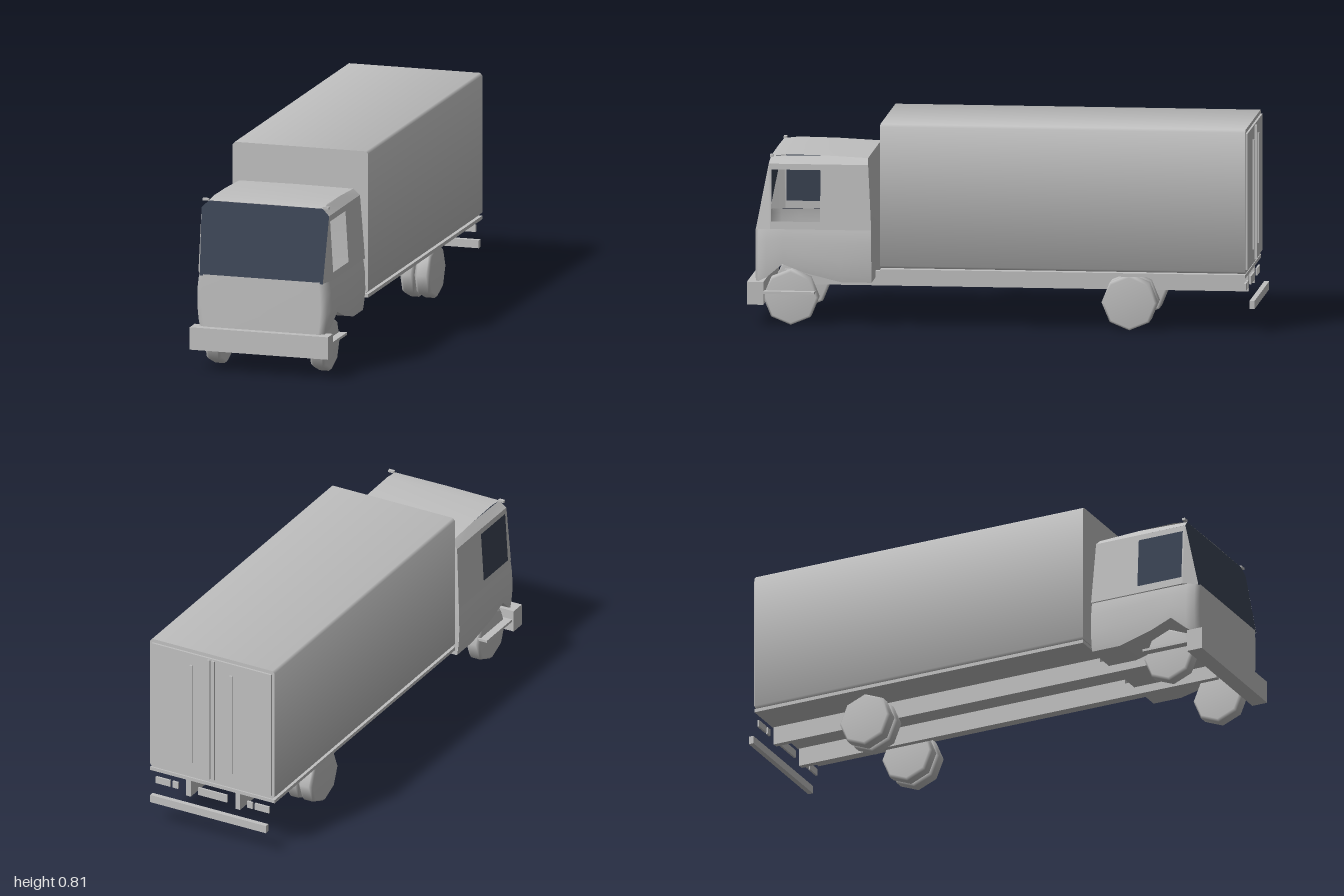
import * as THREE from 'three';

const body = new THREE.MeshStandardMaterial({ color: 0xc0c0c0, side: THREE.DoubleSide });
body.name = 'light grey';
const glass = new THREE.MeshStandardMaterial({ color: 0x3b4454, side: THREE.DoubleSide });
glass.name = 'dark glass';

export function createModel() {
  const truck = new THREE.Group();
  truck.name = 'boxTruck';

  const add = (name, geometry, material = body, parent = truck) => {
    const mesh = new THREE.Mesh(geometry, material);
    mesh.name = name;
    parent.add(mesh);
    return mesh;
  };
  // Box given by its extents on each axis
  const box = (name, [x0, x1], [y0, y1], [z0, z1], material = body) => {
    const g = new THREE.BoxGeometry(x1 - x0, y1 - y0, z1 - z0);
    add(name, g.translate((x0 + x1) / 2, (y0 + y1) / 2, (z0 + z1) / 2), material);
  };
  // Surface spanned by rows of points; each row has the same length
  const patch = (rows) => {
    const n = rows[0].length, index = [];
    for (let r = 0; r < rows.length - 1; r++) {
      for (let c = 0; c < n - 1; c++) {
        const a = r * n + c, b = a + n;
        index.push(a, a + 1, b + 1, a, b + 1, b);
      }
    }
    const g = new THREE.BufferGeometry();
    g.setAttribute('position', new THREE.Float32BufferAttribute(rows.flat(2), 3));
    g.setIndex(index);
    g.computeVertexNormals();
    return g;
  };

  // Cargo box: eight-sided section with softly shaded chamfers
  const W = 0.28, H = 0.285, bevel = 0.01;
  const cargo = new THREE.CylinderGeometry(1, 1, 1.44, 8, 1);
  cargo.rotateY(Math.PI / 8).rotateX(Math.PI / 2);
  const p = cargo.attributes.position;
  const fit = (v, half) => Math.abs(v) < 1e-4 ? 0 : Math.sign(v) * (Math.abs(v) > 0.5 ? half : half - bevel);
  for (let i = 0; i < p.count; i++) p.setXY(i, fit(p.getX(i), W), fit(p.getY(i), H));
  add('cargoBox', cargo.translate(0, 0.525, -0.245));
  box('cargoFloor', [-0.28, 0.28], [0.222, 0.236], [-0.965, 0.475]);
  box('rearDoors', [-0.268, 0.268], [0.255, 0.795], [-0.973, -0.964]);
  for (const s of [-1, 1]) {
    box('doorSeal', [s * 0.01 - 0.006, s * 0.01 + 0.006], [0.26, 0.79], [-0.98, -0.972]);
    box('doorRod', [s * 0.09 - 0.006, s * 0.09 + 0.006], [0.31, 0.745], [-0.98, -0.972]);
  }

  // Chassis, bumpers and lamps
  box('frontBumper', [-0.285, 0.285], [0.088, 0.178], [0.935, 1]);
  box('rearBumper', [-0.26, 0.26], [0.1, 0.132], [-1, -0.98]);
  box('plateHolder', [-0.065, 0.065], [0.168, 0.2], [-0.965, -0.957]);
  for (const s of [-1, 1]) {
    const span = (a, b) => s > 0 ? [a, b] : [-b, -a];
    box('chassisRail', span(0.1, 0.122), [0.148, 0.205], [-0.96, 0.87]);
    box('railHanger', span(0.1, 0.122), [0.2, 0.224], [-0.96, 0.47]);
    box('headlight', span(0.172, 0.274), [0.138, 0.166], [0.994, 1]);
    box('tailLamp', span(0.19, 0.255), [0.17, 0.198], [-0.965, -0.957]);
    box('reverseLamp', span(0.155, 0.18), [0.17, 0.198], [-0.965, -0.957]);
    box('roofMarker', span(0.235, 0.26), [0.671, 0.68], [0.9, 0.912]);
    box('cabStep', span(0.235, 0.278), [0.13, 0.14], [0.735, 0.94]);
  }

  // Wheels: eight-sided, with rounded shoulders; twin tyres at the back
  const wheel = (name, x, z, half) => {
    const R = 0.11, r = 0.1, e = half - 0.012;
    const profile = [[0, -half], [r, -half], [R, -e], [R, e], [r, half], [0, half]];
    const g = new THREE.LatheGeometry(profile.map(([a, b]) => new THREE.Vector2(a, b)), 8);
    add(name, g.rotateZ(Math.PI / 2).translate(x, 0.113, z));
  };
  for (const s of [-1, 1]) {
    wheel('frontWheel', s * 0.215, 0.832, 0.031);
    wheel('rearInnerWheel', s * 0.153, -0.503, 0.029);
    wheel('rearOuterWheel', s * 0.215, -0.503, 0.031);
  }

  // Cab lower body: bulged skin around sides and front, cut up over the wheels
  const cab = new THREE.Group();
  cab.name = 'cab';
  truck.add(cab);
  // x, z and lower edge height of each column, from the back to the front
  const columns = [
    [0.28, 0.51, 0.18], [0.28, 0.63, 0.18], [0.28, 0.77, 0.215], [0.28, 0.86, 0.25],
    [0.278, 0.925, 0.195], [0.268, 0.957, 0.178], [0.245, 0.97, 0.178],
  ];
  const around = [
    ...columns.map(([x, z, y]) => [-x, z, y]),
    ...columns.slice().reverse(),
  ];
  const inset = (y) => 1 - 1.9 * Math.pow(y - 0.285, 2) / 0.55;
  const levels = [0, 0.12, 0.4, 0.75, 0.92, 1];
  add('cabLowerBody', patch(levels.map((t) => around.map(([x, z, low]) => {
    const y = low + (0.388 - low) * t;
    return [x * inset(y), y, z];
  }))), body, cab);
  add('cabFloor', patch([-1, 1].map((s) => columns.map(([x, z, y]) => [s * x * inset(y), y, z]))), body, cab);

  // Cab upper shell: sides lean inward, with window openings
  const sideX = (y) => 0.278 - 0.016 * (y - 0.388) / 0.257;
  const wall = (points, s, hole) => {
    const shape = new THREE.Shape(points.map(([z, y]) => new THREE.Vector2(z, y)));
    if (hole) shape.holes.push(new THREE.Path(hole.map(([z, y]) => new THREE.Vector2(z, y))));
    const g = new THREE.ShapeGeometry(shape);
    const q = g.attributes.position;
    for (let i = 0; i < q.count; i++) {
      const z = q.getX(i), y = q.getY(i);
      q.setXYZ(i, s * sideX(y), y, z);
    }
    g.computeVertexNormals();
    return g;
  };
  const opening = [[0.712, 0.418], [0.905, 0.418], [0.905, 0.622], [0.712, 0.622]];
  const outline = [[0.51, 0.388], [0.91, 0.388], [0.91, 0.645], [0.524, 0.645]];
  for (const s of [-1, 1]) {
    add('cabSide', wall(outline, s, opening), body, cab);
    add('windscreenPillar', patch([
      [[s * 0.278, 0.388, 0.91], [s * 0.254, 0.384, 0.968]],
      [[s * 0.262, 0.645, 0.91], [s * 0.263, 0.645, 0.916]],
    ]), body, cab);
    add('roofChamfer', patch([
      [[s * 0.262, 0.645, 0.524], [s * 0.262, 0.645, 0.7], [s * 0.263, 0.645, 0.916]],
      [[s * 0.235, 0.669, 0.527], [s * 0.235, 0.677, 0.7], [s * 0.235, 0.672, 0.91]],
    ]), body, cab);
  }
  // Only the right-hand side has a pane; the other window is open
  add('sideWindow', wall(opening, -1), glass, cab);

  add('windscreen', patch([
    [[-0.254, 0.382, 0.968], [0.254, 0.382, 0.968]],
    [[-0.263, 0.645, 0.916], [0.263, 0.645, 0.916]],
    [[-0.235, 0.672, 0.91], [0.235, 0.672, 0.91]],
  ]), glass, cab);
  add('cabRoof', patch([[0.527, 0.669], [0.7, 0.68], [0.85, 0.679], [0.91, 0.672]].map(([z, y]) => [
    [-0.235, y - (z === 0.7 ? 0.003 : 0), z], [0, y + 0.002, z], [0.235, y - (z === 0.7 ? 0.003 : 0), z],
  ])), body, cab);
  add('cabBack', patch([
    [0.27, 0.18, 0.51], [0.28, 0.29, 0.51], [0.278, 0.388, 0.51], [0.262, 0.645, 0.524], [0.235, 0.669, 0.527],
  ].map(([x, y, z]) => [[-x, y, z], [x, y, z]])), body, cab);

  return truck;
}
